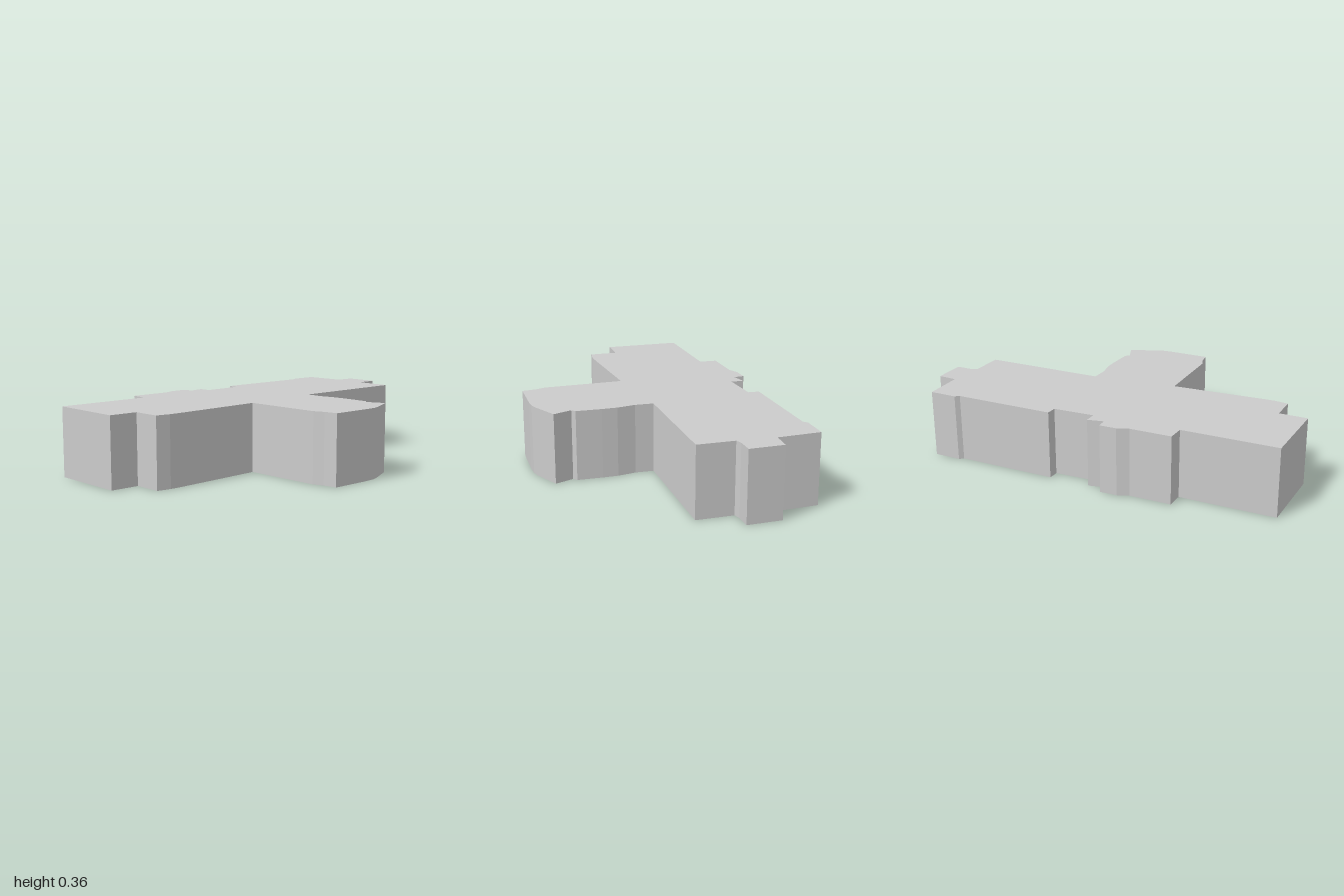
import * as THREE from 'three';

const HEIGHT = 0.356;

// Footprint corners as [x, z], grouped by the side of the building they trace
const backWall = [
  [-1, -0.075], [-0.52, -0.225], [-0.545, -0.313],             // long wing, step out
  [-0.335, -0.38], [-0.285, -0.42], [-0.2, -0.448],            // shallow bay
  [-0.18, -0.397], [-0.105, -0.438], [-0.085, -0.376],         // small notch
  [0.12, -0.448], [0.105, -0.503], [0.615, -0.66], [0.63, -0.683], [0.77, -0.724],
];
const leftEnd = [
  [0.845, -0.517], [0.945, -0.541], [1, -0.375], [0.92, -0.35], [0.89, -0.33], [0.945, -0.15],
];
const frontWing = [
  [0.32, 0.04], [0.345, 0.13], [0.39, 0.215], [0.415, 0.29], [0.45, 0.415], [0.435, 0.437],
  [0.5, 0.516], [0.39, 0.615], [0.355, 0.64], [0.3, 0.66], [0.095, 0.72],
  [0.065, 0.655], [0.03, 0.61], [-0.1, 0.218],
];
const rightEnd = [
  [-0.56, 0.387], [-0.62, 0.406], [-0.693, 0.418], [-0.738, 0.276], [-0.882, 0.318],
];

export function createModel() {
  const group = new THREE.Group();
  group.name = 'building';

  // Flat-roofed block raised from the footprint
  const outline = [...backWall, ...leftEnd, ...frontWing, ...rightEnd];
  const shape = new THREE.Shape(outline.map(([x, z]) => new THREE.Vector2(x, -z)));
  const geometry = new THREE.ExtrudeGeometry(shape, { depth: HEIGHT, bevelEnabled: false });
  geometry.rotateX(-Math.PI / 2);

  const block = new THREE.Mesh(
    geometry,
    new THREE.MeshStandardMaterial({ color: 0xcccccc, flatShading: true }),
  );
  block.name = 'buildingBlock';
  group.add(block);
  return group;
}
